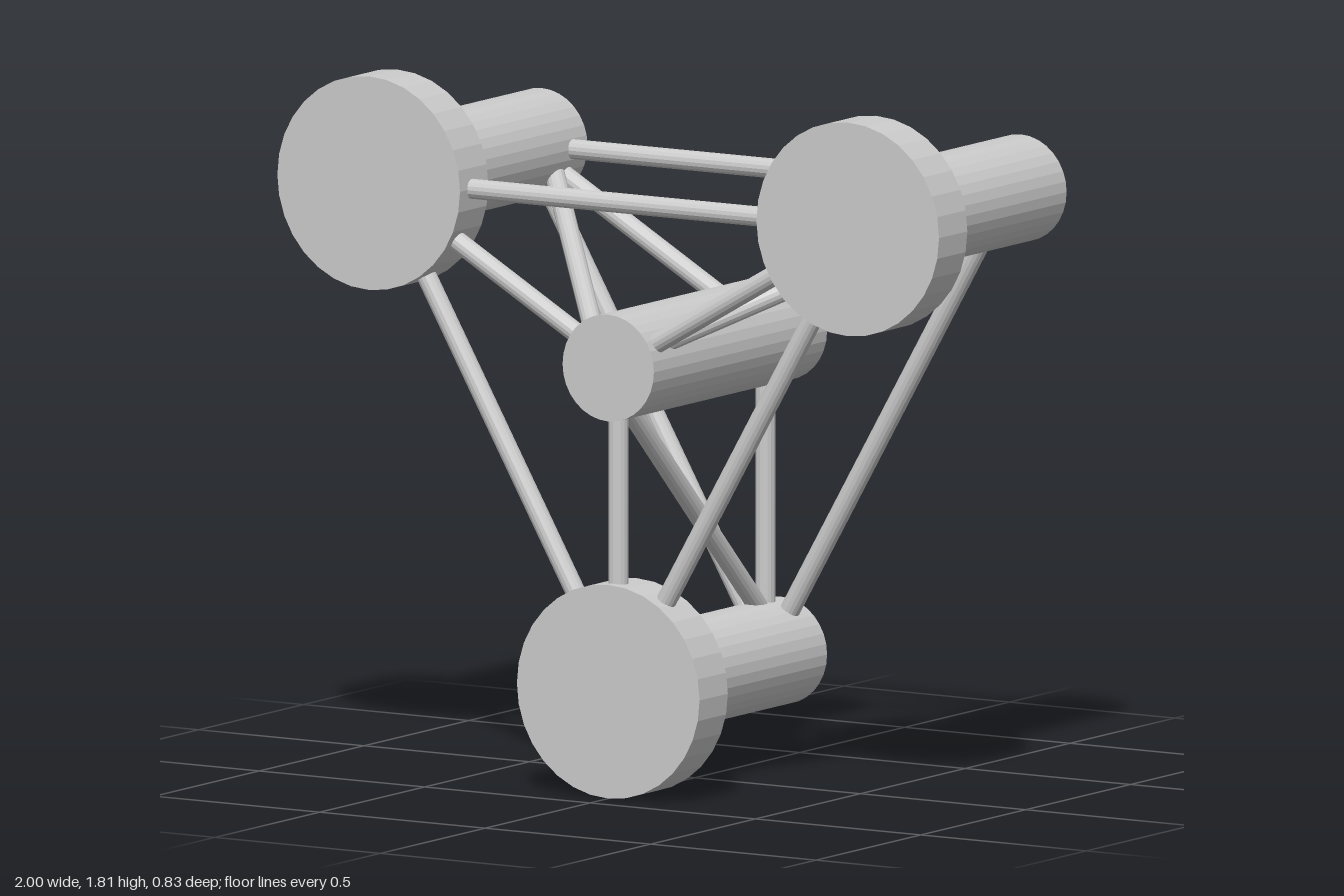
import * as THREE from 'three';

const HALF_DEPTH = 0.413;
const TUBE_R = 0.138;
const DISC_R = 0.276;
const DISC_BACK = 0.278;
const ROD_R = 0.026;
const HUB = new THREE.Vector2(0, 1.112);
const SPREAD = 0.836; // hub axis to outer axes

export function createModel() {
  const model = new THREE.Group();
  const material = new THREE.MeshStandardMaterial({ color: 0xcccccc, flatShading: true });

  const add = (name, geometry) => {
    const mesh = new THREE.Mesh(geometry, material);
    mesh.name = name;
    model.add(mesh);
    return mesh;
  };

  // Cylinder lying along z between two depths
  const barrel = (name, p, radius, z0, z1) => {
    const geometry = new THREE.CylinderGeometry(radius, radius, z1 - z0, 32).rotateX(Math.PI / 2);
    add(name, geometry).position.set(p.x, p.y, (z0 + z1) / 2);
  };

  // Rod between two axes, starting and ending at a given distance from each
  const rod = (name, a, b, insetA, insetB, zA, zB) => {
    const dir = b.clone().sub(a).normalize();
    const p = a.clone().addScaledVector(dir, insetA);
    const q = b.clone().addScaledVector(dir, -insetB);
    const start = new THREE.Vector3(p.x, p.y, zA);
    const end = new THREE.Vector3(q.x, q.y, zB);
    const span = end.clone().sub(start);
    const mesh = add(name, new THREE.CylinderGeometry(ROD_R, ROD_R, span.length(), 16));
    mesh.position.copy(start).add(end).multiplyScalar(0.5);
    mesh.quaternion.setFromUnitVectors(new THREE.Vector3(0, 1, 0), span.normalize());
  };

  // Bottom, upper left and upper right axes
  const outer = [-90, 30, 150].map((deg) => {
    const a = THREE.MathUtils.degToRad(deg);
    return new THREE.Vector2(Math.cos(a), Math.sin(a)).multiplyScalar(SPREAD).add(HUB);
  });

  barrel('centreTube', HUB, TUBE_R, -HALF_DEPTH, HALF_DEPTH);

  const tubeInset = TUBE_R - 0.015;
  const discInset = DISC_R - 0.015;
  outer.forEach((p, i) => {
    const next = outer[(i + 1) % 3];
    // Outer tube with its wide front disc
    barrel('outerTube', p, TUBE_R, -HALF_DEPTH, DISC_BACK);
    barrel('frontDisc', p, DISC_R, DISC_BACK, HALF_DEPTH);
    // Triangular frames
    rod('frontFrameRod', p, next, discInset, discInset, 0.352, 0.352);
    rod('backFrameRod', p, next, tubeInset, tubeInset, -0.347, -0.347);
    // Spokes to the centre, and the diagonal brace between them
    rod('frontSpoke', HUB, p, tubeInset, discInset, 0.364, 0.364);
    rod('backSpoke', HUB, p, tubeInset, tubeInset, -0.336, -0.336);
    rod('diagonalBrace', HUB, p, tubeInset, tubeInset, 0.308, -0.306);
  });

  return model;
}
